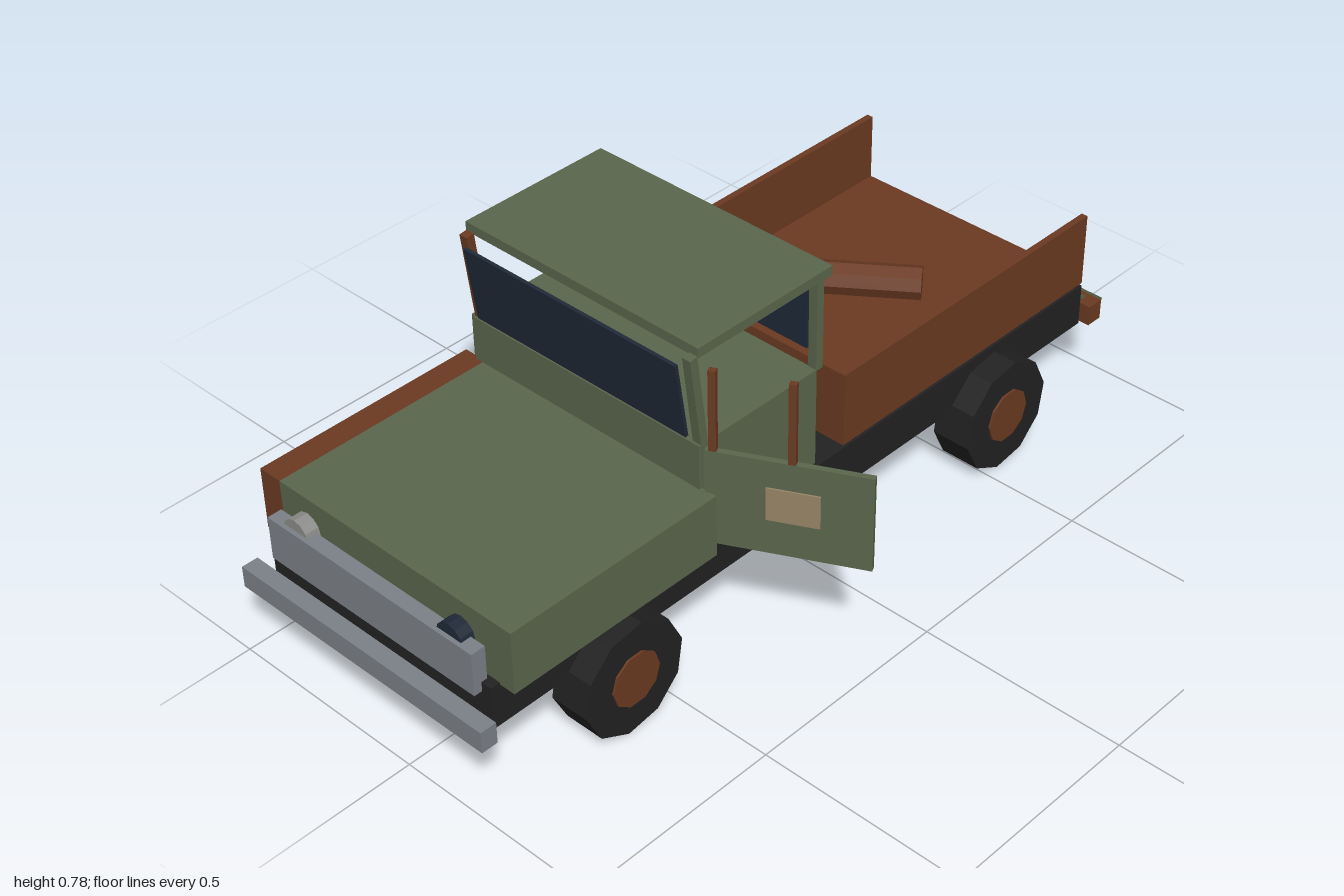
import * as THREE from 'three';

const mat = (name, color, side = THREE.FrontSide) => {
  const m = new THREE.MeshStandardMaterial({ color, side });
  m.name = name;
  return m;
};

export function createModel() {
  const truck = new THREE.Group();
  truck.name = 'oldPickupTruck';

  const green = mat('fadedGreen', 0x5a664c);
  const rust = mat('rust', 0x6b3a22);
  const dark = mat('blackRubber', 0x222222);
  const glass = mat('darkGlass', 0x1f2937);
  const steel = mat('dullSteel', 0x7c8188);
  const lens = mat('paleLens', 0x8c8c8a);
  const tan = mat('tanPatch', 0x968466);

  // Box given by its min and max along each axis
  const box = (name, m, [x0, x1], [y0, y1], [z0, z1], parent = truck) => {
    const mesh = new THREE.Mesh(new THREE.BoxGeometry(x1 - x0, y1 - y0, z1 - z0), m);
    mesh.position.set((x0 + x1) / 2, (y0 + y1) / 2, (z0 + z1) / 2);
    mesh.name = name;
    parent.add(mesh);
    return mesh;
  };

  // Flat-sided cylinder along x (or z)
  const drum = (name, m, r, len, sides, pos, axis = 'x') => {
    let geo = new THREE.CylinderGeometry(r, r, len, sides);
    if (axis === 'x') geo.rotateZ(Math.PI / 2);
    else geo.rotateX(Math.PI / 2);
    geo = geo.toNonIndexed();
    geo.computeVertexNormals();
    const mesh = new THREE.Mesh(geo, m);
    mesh.position.set(...pos);
    mesh.name = name;
    truck.add(mesh);
    return mesh;
  };

  const midX = -0.13;

  // Frame and bumpers
  box('chassis', dark, [-0.455, 0.197], [0.183, 0.288], [-0.9, 0.94]);
  box('frontBumper', steel, [-0.485, 0.228], [0.182, 0.234], [0.96, 1.0]);
  box('rearBumper', rust, [-0.483, 0.225], [0.19, 0.24], [-0.943, -0.9]);

  // Hood with a rusted right fender
  box('hood', green, [-0.435, 0.237], [0.283, 0.435], [0.36, 0.917]);
  box('rightFender', rust, [-0.495, -0.435], [0.283, 0.435], [0.36, 0.917]);
  box('grille', steel, [-0.43, 0.17], [0.265, 0.37], [0.925, 0.96]);
  drum('rightHeadlight', lens, 0.037, 0.036, 12, [-0.355, 0.36, 0.932], 'z');
  drum('leftHeadlight', glass, 0.037, 0.036, 12, [0.097, 0.36, 0.932], 'z');

  // Cab, roof and pillars
  box('cabBody', green, [-0.455, 0.198], [0.302, 0.543], [0.02, 0.368]);
  box('roof', green, [-0.457, 0.2], [0.757, 0.78], [-0.02, 0.368]);
  box('rightDoor', green, [-0.468, -0.455], [0.308, 0.54], [0.022, 0.36]);
  for (const [side, x, m] of [['right', -0.444, rust], ['left', 0.187, green]]) {
    const front = box(side + 'FrontPillar', m, [x - 0.011, x + 0.011], [0.54, 0.76], [0.355, 0.375]);
    front.rotation.x = 0.12;
    box(side + 'RearPillar', m, [x - 0.011, x + 0.011], [0.54, 0.76], [0.002, 0.022]);
  }

  // Windows
  const windshield = box('windshield', glass, [-0.43, 0.17], [0.555, 0.742], [0.381, 0.389]);
  windshield.rotation.x = 0.14;
  box('rearWindow', glass, [-0.42, 0.16], [0.572, 0.745], [0.001, 0.009]);

  // Open left door, hinged at its front edge
  const door = new THREE.Group();
  door.name = 'leftDoor';
  door.position.set(0.208, 0, 0.36);
  door.rotation.y = -1.1;
  truck.add(door);
  box('doorPanel', green, [-0.007, 0.007], [0.308, 0.54], [-0.345, 0], door);
  box('doorPatch', tan, [0.006, 0.011], [0.395, 0.475], [-0.238, -0.126], door);
  for (const z of [-0.016, -0.178]) {
    box('doorWindowPost', rust, [-0.007, 0.007], [0.54, 0.734], [z - 0.008, z + 0.008], door);
  }

  // Cargo bed, open at the back
  box('bedFloor', rust, [-0.455, 0.197], [0.296, 0.314], [-0.898, -0.07]);
  box('bedFrontWall', rust, [-0.455, 0.197], [0.3, 0.478], [-0.086, -0.07]);
  box('bedRightWall', rust, [-0.456, -0.44], [0.3, 0.479], [-0.898, -0.07]);
  box('bedLeftWall', rust, [0.182, 0.198], [0.3, 0.479], [-0.898, -0.07]);

  // Dropped tailgate
  const tailgate = box('tailgate', green, [-0.45, 0.19], [0.218, 0.23], [-1.003, -0.89]);
  tailgate.rotation.x = -0.52;

  // Loose log lying in the bed
  const log = drum('log', rust, 0.04, 0.32, 8, [-0.148, 0.354, -0.49]);
  log.rotation.y = 0.63;

  // Wheels with rusted hub discs
  for (const [end, z] of [['front', 0.62], ['rear', -0.56]]) {
    for (const s of [-1, 1]) {
      const wheel = drum(end + 'Wheel', dark, 0.136, 0.098, 10, [midX + s * 0.339, 0.135, z]);
      wheel.rotation.x = s * 0.15;
      drum(end + 'Hub', rust, 0.065, 0.005, 10, [midX + s * 0.391, 0.137, z]);
    }
  }

  return truck;
}
